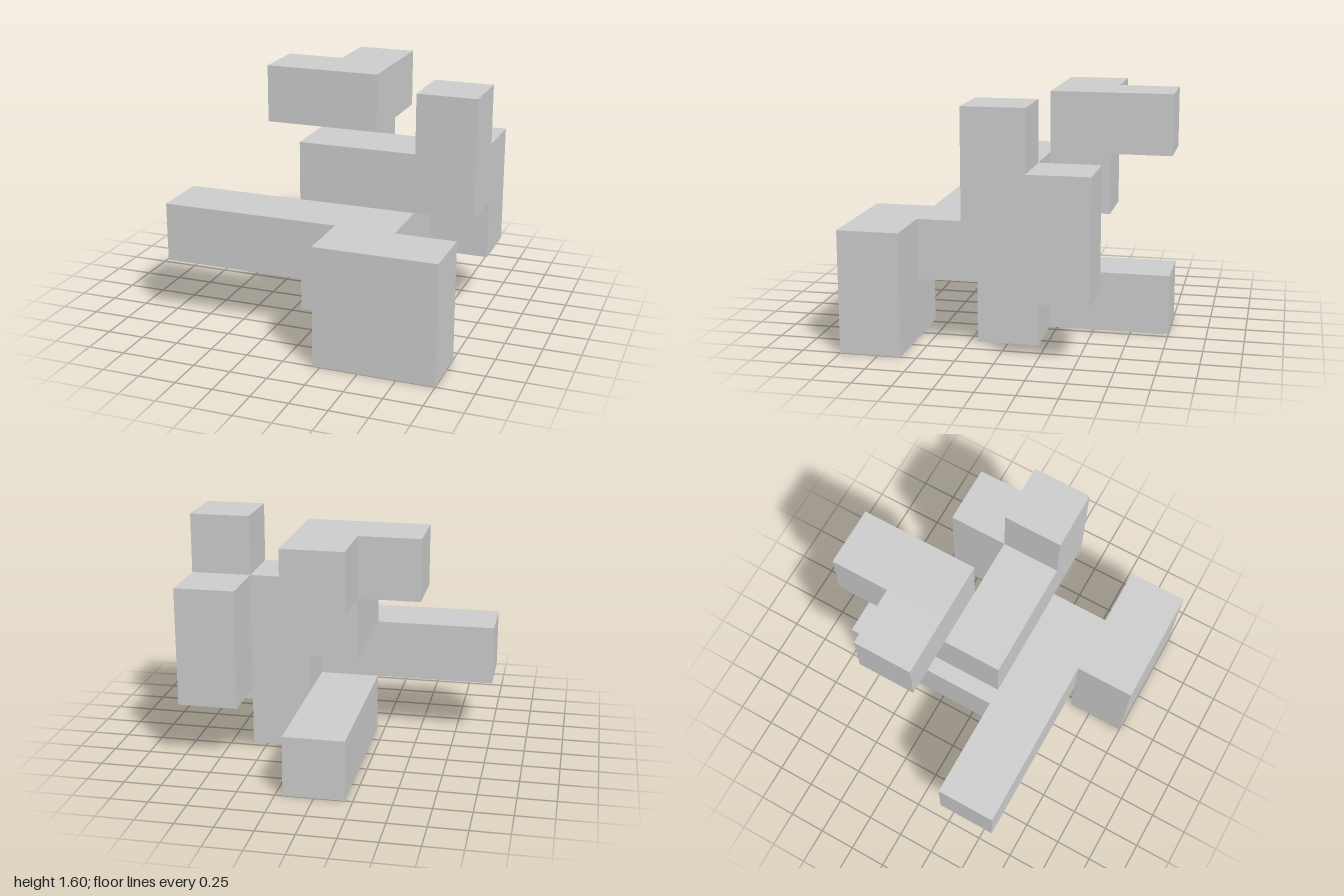
import * as THREE from 'three';
import { mergeGeometries } from 'three/addons/utils/BufferGeometryUtils.js';

const CELL = 0.4;

// Each bar runs between two corner cells [x, y, z] of a 5 x 4 x 5 lattice.
const BARS = {
  frontBlock: [[3, 0, 4], [4, 1, 4]],
  crossArm: [[0, 1, 3], [3, 1, 3]],
  centrePost: [[3, 0, 2], [3, 1, 2]],
  rearFoot: [[2, 0, 0], [2, 0, 2]],
  middleBeam: [[2, 2, 2], [4, 2, 2]],
  leftPeg: [[4, 3, 2], [4, 3, 2]],
  leftPanel: [[4, 1, 1], [4, 2, 1]],
  upperRiser: [[2, 2, 1], [2, 2, 1]],
  topBar: [[2, 3, 0], [2, 3, 1]],
  topStub: [[1, 3, 1], [1, 3, 1]],
};

const SIDES = [[1, 0, 0], [-1, 0, 0], [0, 1, 0], [0, -1, 0], [0, 0, 1], [0, 0, -1]];

// All cells of one bar
function cellsOf([a, b]) {
  const cells = [];
  for (let x = a[0]; x <= b[0]; x++)
    for (let y = a[1]; y <= b[1]; y++)
      for (let z = a[2]; z <= b[2]; z++) cells.push([x, y, z]);
  return cells;
}

// One square face of a cell, turned to look along the side's normal
function cellFace(cell, side) {
  const normal = new THREE.Vector3(...side);
  const turn = new THREE.Quaternion().setFromUnitVectors(new THREE.Vector3(0, 0, 1), normal);
  const centre = new THREE.Vector3(cell[0] - 2, cell[1] + 0.5, cell[2] - 2)
    .addScaledVector(normal, 0.5)
    .multiplyScalar(CELL);
  return new THREE.PlaneGeometry(CELL, CELL)
    .applyQuaternion(turn)
    .translate(centre.x, centre.y, centre.z);
}

export function createModel() {
  const group = new THREE.Group();
  group.name = 'blockPuzzlePiece';
  const material = new THREE.MeshStandardMaterial({ color: 0xcccccc, flatShading: true });

  const filled = new Set(Object.values(BARS).flatMap(cellsOf).map(String));

  // Keep only the outer faces, so joined bars form one closed surface
  for (const [name, bar] of Object.entries(BARS)) {
    const faces = [];
    for (const cell of cellsOf(bar))
      for (const side of SIDES) {
        const neighbour = cell.map((v, i) => v + side[i]);
        if (!filled.has(String(neighbour))) faces.push(cellFace(cell, side));
      }
    const mesh = new THREE.Mesh(mergeGeometries(faces), material);
    mesh.name = name;
    group.add(mesh);
  }
  return group;
}
